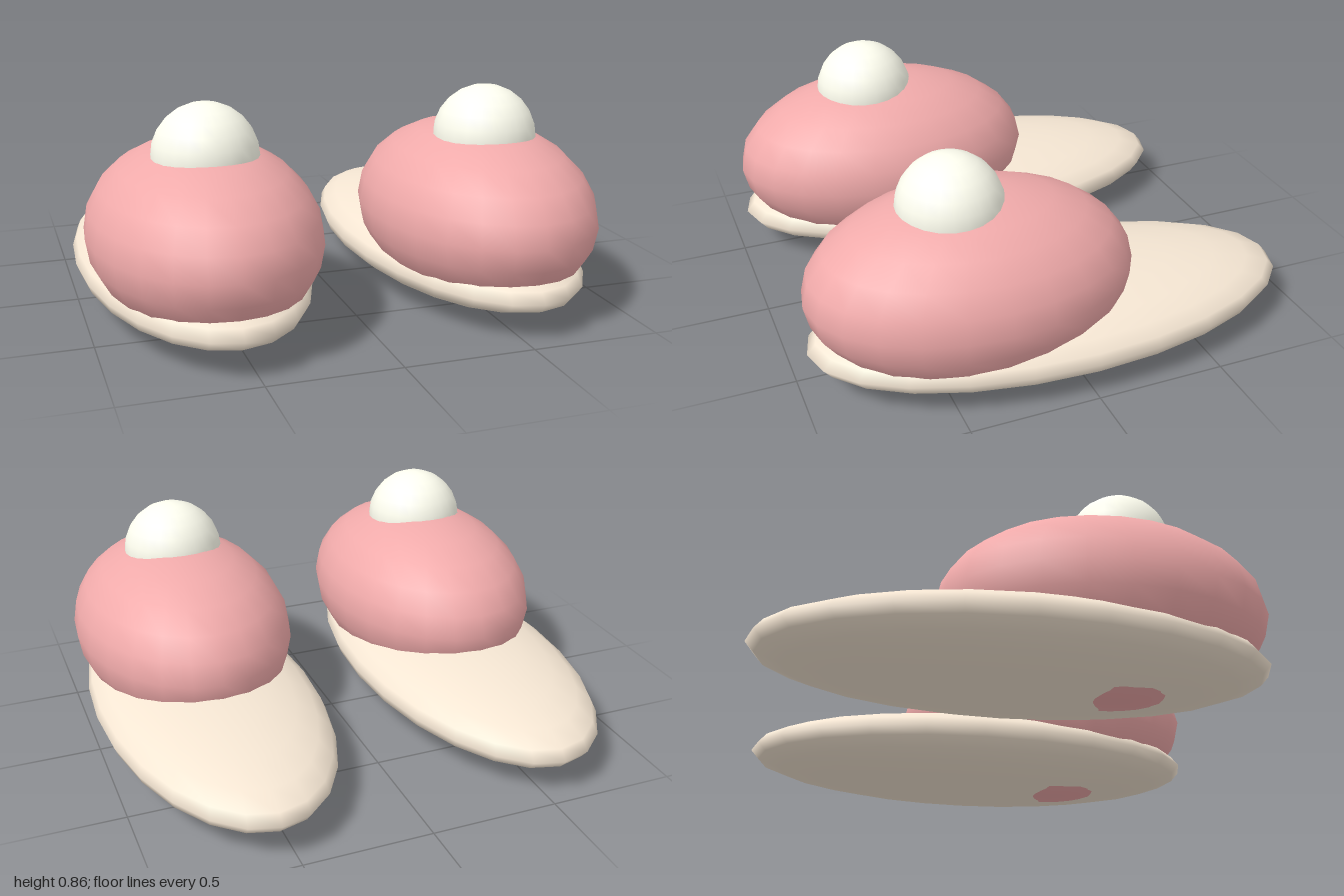
import * as THREE from 'three';

const CREAM = new THREE.MeshStandardMaterial({ color: 0xf5e6d3 });
const PINK = new THREE.MeshStandardMaterial({ color: 0xf0aaaa });
const IVORY = new THREE.MeshStandardMaterial({ color: 0xfffff0 });

// Ellipsoid with the given centre height, depth position and radii
function ellipsoid(name, material, y, z, rx, ry, rz) {
  const geometry = new THREE.SphereGeometry(1, 24, 12).scale(rx, ry, rz);
  const mesh = new THREE.Mesh(geometry, material);
  mesh.name = name;
  mesh.position.set(0, y, z);
  return mesh;
}

function createSlipper(name, x) {
  const slipper = new THREE.Group();
  slipper.name = name;
  slipper.position.x = x;
  slipper.add(
    ellipsoid('sole', CREAM, 0.148, 0, 0.444, 0.148, 0.963), // flat oval sole
    ellipsoid('upper', PINK, 0.352, 0.333, 0.44, 0.348, 0.63), // puffy toe cover
    ellipsoid('pompom', IVORY, 0.655, 0.407, 0.2, 0.2, 0.2) // ball on top
  );
  return slipper;
}

export function createModel() {
  const model = new THREE.Group();
  model.name = 'slippers';
  model.add(createSlipper('leftSlipper', 0.556), createSlipper('rightSlipper', -0.556));
  return model;
}
